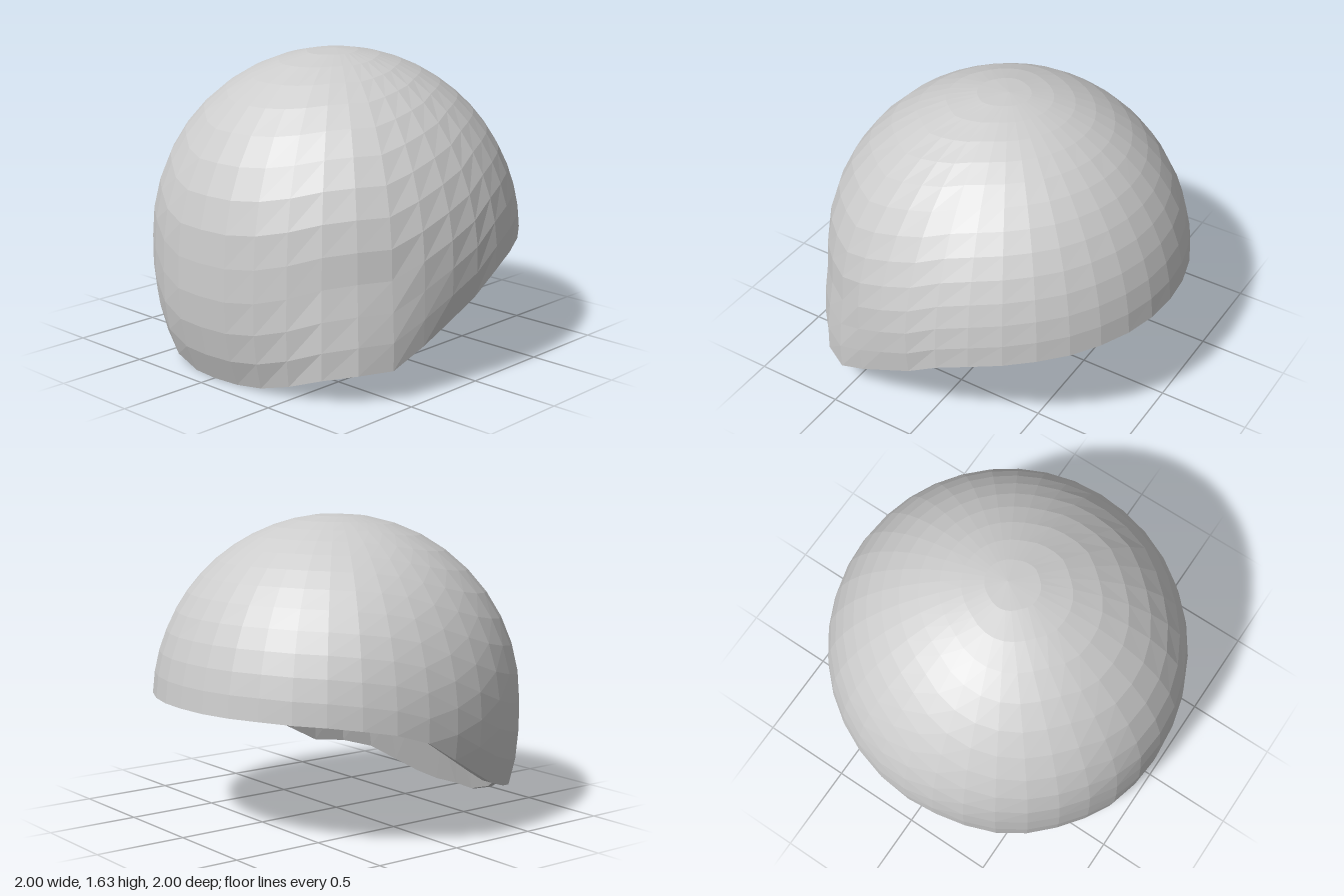
import * as THREE from 'three';

const CENTER_Y = 0.63, SEGMENTS = 36, ROWS = 13, CAVITY_ROWS = 8;
const CAVITY_TOP = { x: 0.15, y: 1.22 };

// Rim by azimuth: [degrees from +x towards +z, rim height, outward flare]
const RIM = [
  [0, 0.68, 0], [30, 0.675, 0], [50, 0.66, 0], [66, 0.63, 0], [78, 0.58, 0],
  [90, 0.45, 0], [100, 0.36, 0.02], [110, 0.26, 0.07], [120, 0.165, 0.15],
  [135, 0.15, 0.18], [145, 0.10, 0.16], [155, 0.03, 0.15], [170, 0, 0.13],
  [190, 0, 0.13], [198, 0.03, 0.13], [212, 0.15, 0.07], [222, 0.17, 0.06],
  [235, 0.19, 0.06], [250, 0.27, 0.02], [262, 0.37, 0], [270, 0.45, 0],
  [282, 0.58, 0], [294, 0.63, 0], [310, 0.66, 0], [330, 0.675, 0], [360, 0.68, 0],
];

function rimAt(deg) {
  const k = Math.max(1, RIM.findIndex((p) => p[0] >= deg));
  const [a, b] = [RIM[k - 1], RIM[k]];
  const f = (deg - a[0]) / (b[0] - a[0]);
  return [a[1] + (b[1] - a[1]) * f, a[2] + (b[2] - a[2]) * f];
}

// Point on the dome: t runs from the crown (0) to the rim (1)
function domePoint(t, deg) {
  const [rimY, flare] = rimAt(deg);
  const theta = t * Math.acos(rimY - CENTER_Y);
  const drop = Math.max(0, -Math.cos(theta)) / Math.max(0.05, CENTER_Y - rimY);
  const r = Math.sin(theta) + flare * Math.pow(drop, 1.4);
  const phi = THREE.MathUtils.degToRad(deg);
  return [r * Math.cos(phi), CENTER_Y + Math.cos(theta), r * Math.sin(phi)];
}

// Inner edge of the rim, wider along the two sides
function lipPoint(deg) {
  const [x, y, z] = domePoint(1, deg);
  const scale = 0.98 - 0.035 * Math.sin(THREE.MathUtils.degToRad(deg)) ** 2;
  return [x * scale, y + 0.005, z * scale];
}

// Point in the cavity: wall rising from the lip (t = 1) and bending to a flat top (t = 0)
function cavityPoint(t, deg) {
  const [x, y, z] = lipPoint(deg);
  const bend = 0.8 - 0.2 * Math.min(0, Math.cos(THREE.MathUtils.degToRad(deg))) ** 2;
  const reach = 2 * t * (1 - t) * bend + t * t;
  return [
    CAVITY_TOP.x + (x - CAVITY_TOP.x) * reach,
    CAVITY_TOP.y + (y - CAVITY_TOP.y) * t * t,
    z * reach,
  ];
}

// Joins rings, each a function of azimuth, into a faceted surface
function loft(rings) {
  const positions = [], index = [], n = SEGMENTS;
  for (const ring of rings) {
    for (let j = 0; j < n; j++) positions.push(...ring((j * 360) / n));
  }
  for (let i = 0; i < rings.length - 1; i++) {
    for (let j = 0; j < n; j++) {
      const k = (j + 1) % n;
      const a = i * n + j, d = i * n + k, b = a + n, c = d + n;
      index.push(a, d, c, a, c, b);
    }
  }
  const indexed = new THREE.BufferGeometry();
  indexed.setAttribute('position', new THREE.Float32BufferAttribute(positions, 3));
  indexed.setIndex(index);
  const geometry = indexed.toNonIndexed();
  geometry.computeVertexNormals();
  return geometry;
}

const steps = (count) => Array.from({ length: count + 1 }, (_, i) => i / count);

export function createModel() {
  const group = new THREE.Group();
  group.name = 'domeShell';
  const grey = new THREE.MeshStandardMaterial({ color: 0xcccccc, flatShading: true });
  grey.name = 'light grey';

  const parts = {
    outerShell: steps(ROWS).map((t) => (deg) => domePoint(t, deg)),
    rimEdge: [(deg) => domePoint(1, deg), lipPoint],
    cavity: steps(CAVITY_ROWS).reverse().map((t) => (deg) => cavityPoint(t, deg)),
  };
  for (const [name, rings] of Object.entries(parts)) {
    const mesh = new THREE.Mesh(loft(rings), grey);
    mesh.name = name;
    group.add(mesh);
  }
  return group;
}
